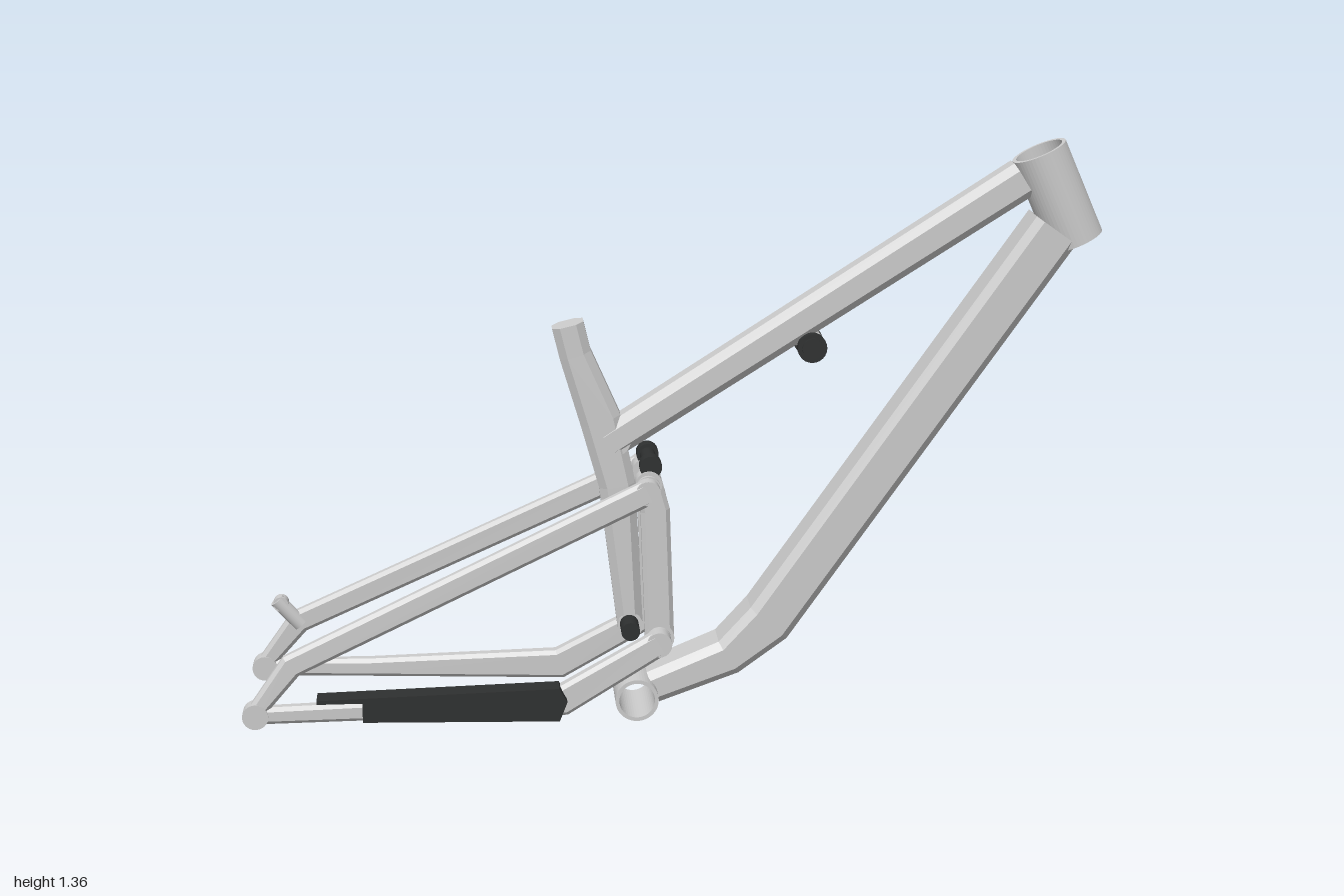
import * as THREE from 'three';

const grey = new THREE.MeshStandardMaterial({ color: 0xcccccc, flatShading: true, side: THREE.DoubleSide });
const smooth = new THREE.MeshStandardMaterial({ color: 0xcccccc, side: THREE.DoubleSide });
const dark = new THREE.MeshStandardMaterial({ color: 0x2e3030 });

// Chamfered box-section tube along points [x, y, z, height, width], mitred at bends
function tube(name, pts, chamfer = 0.012) {
  const pos = [], index = [], n = pts.length;
  const dir = (a, b) => new THREE.Vector2(b[0] - a[0], b[1] - a[1]).normalize();
  pts.forEach((p, i) => {
    const d0 = dir(pts[Math.max(i - 1, 0)], pts[Math.max(i, 1)]);
    const d1 = dir(pts[Math.min(i, n - 2)], pts[Math.min(i + 1, n - 1)]);
    const t = d0.clone().add(d1).normalize(), k = 1 / t.dot(d0);
    const [x, y, z, h, w] = p, a = h / 2, b = w / 2, c = chamfer;
    for (const [u, v] of [[a, b - c], [a - c, b], [c - a, b], [-a, b - c], [-a, c - b], [c - a, -b], [a - c, -b], [a, c - b]])
      pos.push(x - t.y * u * k, y + t.x * u * k, z + v);
  });
  for (let i = 0; i < n - 1; i++)
    for (let j = 0; j < 8; j++) {
      const a = i * 8 + j, b = i * 8 + (j + 1) % 8;
      index.push(a, b, a + 8, b, b + 8, a + 8);
    }
  const e = (n - 1) * 8;
  for (let j = 1; j < 7; j++) index.push(0, j + 1, j, e, e + j, e + j + 1);
  const g = new THREE.BufferGeometry();
  g.setAttribute('position', new THREE.Float32BufferAttribute(pos, 3));
  g.setIndex(index);
  g.computeVertexNormals();
  const m = new THREE.Mesh(g, grey);
  m.name = name;
  return m;
}

// Place a y-axis mesh so it runs from a to b
function along(mesh, name, a, b) {
  const A = new THREE.Vector3(...a), B = new THREE.Vector3(...b);
  mesh.position.copy(A).add(B).multiplyScalar(0.5);
  mesh.quaternion.setFromUnitVectors(new THREE.Vector3(0, 1, 0), B.sub(A).normalize());
  mesh.name = name;
  return mesh;
}
const length = (a, b) => Math.hypot(a[0] - b[0], a[1] - b[1], a[2] - b[2]);

function rod(name, a, b, r, mat = smooth) {
  return along(new THREE.Mesh(new THREE.CylinderGeometry(r, r, length(a, b), 24), mat), name, a, b);
}

// Cylinder across the frame, from z0 to z1
const pin = (name, x, y, z0, z1, r, mat) => rod(name, [x, y, z0], [x, y, z1], r, mat);

// Open pipe with a wall
function pipe(name, a, b, r, inner) {
  const s = new THREE.Shape().absarc(0, 0, r, 0, Math.PI * 2);
  s.holes.push(new THREE.Path().absarc(0, 0, inner, 0, Math.PI * 2, true));
  const l = length(a, b);
  const g = new THREE.ExtrudeGeometry(s, { depth: l, bevelEnabled: false, curveSegments: 24 });
  g.translate(0, 0, -l / 2).rotateX(Math.PI / 2);
  return along(new THREE.Mesh(g, smooth), name, a, b);
}

export function createModel() {
  const model = new THREE.Group();
  model.name = 'bicycleFrame';

  // Main frame
  model.add(
    pipe('headTube', [0.94, 1.12, 0], [0.847, 1.33, 0], 0.065, 0.056),
    pipe('bottomBracketShell', [-0.085, 0.051, -0.092], [-0.085, 0.051, 0.092], 0.051, 0.042),
    tube('downTube', [[0.885, 1.152, 0, 0.115, 0.126], [0.23, 0.22, 0, 0.115, 0.126],
      [0.135, 0.137, 0, 0.09, 0.126], [-0.045, 0.067, 0, 0.08, 0.126]], 0.018),
    tube('topTube', [[-0.145, 0.662, 0, 0.08, 0.08], [0.81, 1.267, 0, 0.088, 0.08]], 0.018),
    tube('seatTube', [[-0.237, 0.943, 0, 0.074, 0.074], [-0.22, 0.872, 0, 0.074, 0.074],
      [-0.163, 0.716, 0, 0.095, 0.078], [-0.125, 0.56, 0, 0.085, 0.08], [-0.097, 0.22, 0, 0.06, 0.08]], 0.018),
    pin('seatTubeLowerEnd', -0.097, 0.22, -0.04, 0.04, 0.03),
    pin('topTubeRearEnd', -0.13, 0.67, -0.036, 0.036, 0.036)
  );

  // Shock mount under the top tube
  model.add(rod('shockMountTab', [0.29, 0.94, 0], [0.325, 0.89, 0], 0.03),
    pin('shockMountBolt', 0.325, 0.885, -0.055, 0.055, 0.024, dark));
  for (const s of [-1, 1])
    model.add(pin('shockMountCap', 0.325, 0.885, s * 0.03, s * 0.05, 0.034, dark));

  // Rear suspension, mirrored on both sides
  for (const s of [-1, 1]) {
    const side = new THREE.Group();
    side.name = s > 0 ? 'frontSideRearTriangle' : 'backSideRearTriangle';
    side.add(
      tube('seatstay', [[-0.06, 0.568, s * 0.113, 0.058, 0.034], [-0.885, 0.185, s * 0.157, 0.055, 0.034],
        [-0.967, 0.08, s * 0.165, 0.04, 0.034]], 0.009),
      pin('seatstayFrontEye', -0.06, 0.568, s * 0.096, s * 0.13, 0.029),
      tube('chainstay', [[-0.97, 0.069, s * 0.164, 0.04, 0.034], [-0.72, 0.068, s * 0.149, 0.044, 0.036],
        [-0.26, 0.073, s * 0.126, 0.07, 0.04], [-0.035, 0.2, s * 0.11, 0.06, 0.038]], 0.009),
      pin('chainstayFrontEye', -0.035, 0.2, s * 0.09, s * 0.129, 0.03),
      pin('dropout', -0.97, 0.069, s * 0.144, s * 0.182, 0.03),
      tube('rockerLink', [[-0.055, 0.575, s * 0.058, 0.062, 0.038], [-0.04, 0.51, s * 0.058, 0.068, 0.038],
        [-0.03, 0.2, s * 0.058, 0.068, 0.038]], 0.01),
      pin('linkUpperEye', -0.055, 0.575, s * 0.039, s * 0.077, 0.031),
      pin('linkLowerEye', -0.03, 0.2, s * 0.039, s * 0.077, 0.034),
      pin('upperPivot', -0.057, 0.57, s * 0.07, s * 0.1, 0.022, dark),
      pin('upperPivotWasher', -0.057, 0.57, s * 0.08, s * 0.09, 0.028),
      pin('lowerPivot', -0.032, 0.2, s * 0.07, s * 0.095, 0.022, dark),
      pin('lowerPivotWasher', -0.032, 0.2, s * 0.078, s * 0.088, 0.028),
      pin('seatTubePivotBolt', -0.1, 0.225, s * 0.035, s * 0.1, 0.022, dark),
      pin('seatTubeUpperBolt', -0.11, 0.53, s * 0.035, s * 0.09, 0.022, dark),
      pin('shockBoltCap', -0.05, 0.615, s * 0.04, s * 0.072, 0.026, dark)
    );
    model.add(side);
  }
  model.add(pin('shockBolt', -0.05, 0.615, -0.06, 0.06, 0.018, dark));

  // Guard wrapped around the front-side chainstay
  const outline = [[-0.83, 0.1], [-0.27, 0.114], [-0.252, 0.08], [-0.27, 0.034], [-0.725, 0.044], [-0.725, 0.091], [-0.83, 0.091]];
  const guardGeo = new THREE.ExtrudeGeometry(new THREE.Shape(outline.map(p => new THREE.Vector2(...p))),
    { depth: 0.053, bevelEnabled: false });
  const guard = new THREE.Mesh(guardGeo.translate(0, 0, 0.115), dark);
  guard.name = 'chainstayGuard';
  model.add(guard);

  // Brake mount on the back-side seatstay
  model.add(rod('brakeMountPost', [-0.935, 0.245, -0.142], [-0.88, 0.18, -0.148], 0.018),
    pin('brakeMountHead', -0.925, 0.236, -0.158, -0.13, 0.018));

  return model;
}
